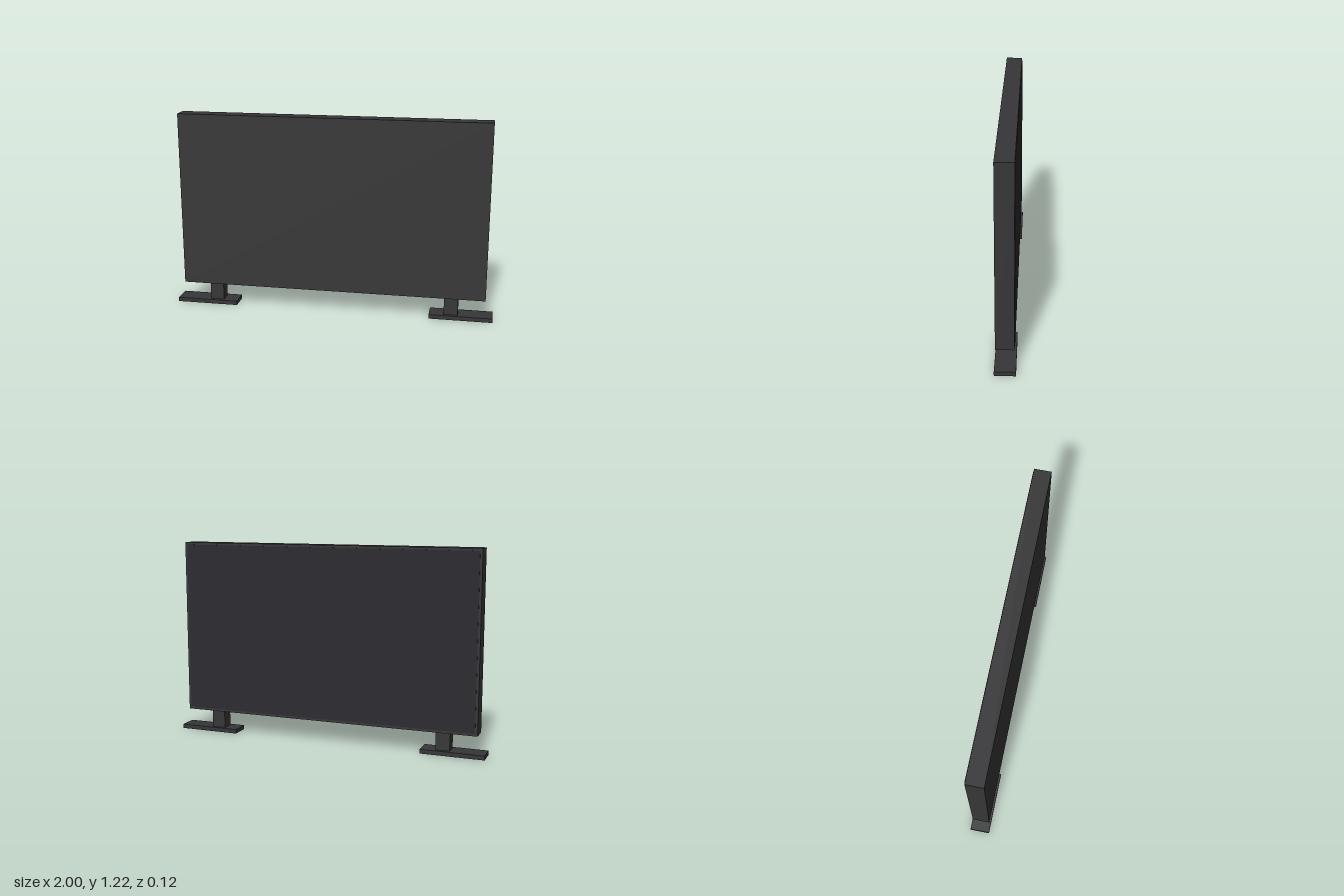
import * as THREE from 'three';

const casing = new THREE.MeshStandardMaterial({ color: 0x363638 });
const glass = new THREE.MeshStandardMaterial({ color: 0x29292e });

// Box given by its lower and upper limits on each axis
function box(name, [x0, x1], [y0, y1], [z0, z1], material = casing) {
  const mesh = new THREE.Mesh(new THREE.BoxGeometry(x1 - x0, y1 - y0, z1 - z0), material);
  mesh.position.set((x0 + x1) / 2, (y0 + y1) / 2, (z0 + z1) / 2);
  mesh.name = name;
  return mesh;
}

export function createModel() {
  const model = new THREE.Group();
  model.name = 'television';

  // Housing, with the thin screen standing proud of the -z face
  model.add(box('housing', [-0.953, 0.953], [0.135, 1.223], [-0.05, 0.055]));
  model.add(box('screen', [-0.938, 0.938], [0.15, 1.208], [-0.053, -0.048], glass));

  // Two stands: a short neck on a flat foot
  for (const [side, s] of [['left', 1], ['right', -1]]) {
    const span = (a, b) => (s > 0 ? [a, b] : [-b, -a]);
    const stand = new THREE.Group();
    stand.name = side + 'Stand';
    stand.add(box('foot', span(0.612, 1), [0, 0.026], [-0.06, 0.06]));
    stand.add(box('neck', span(0.702, 0.788), [0.026, 0.135], [-0.038, 0.039]));
    model.add(stand);
  }
  return model;
}
